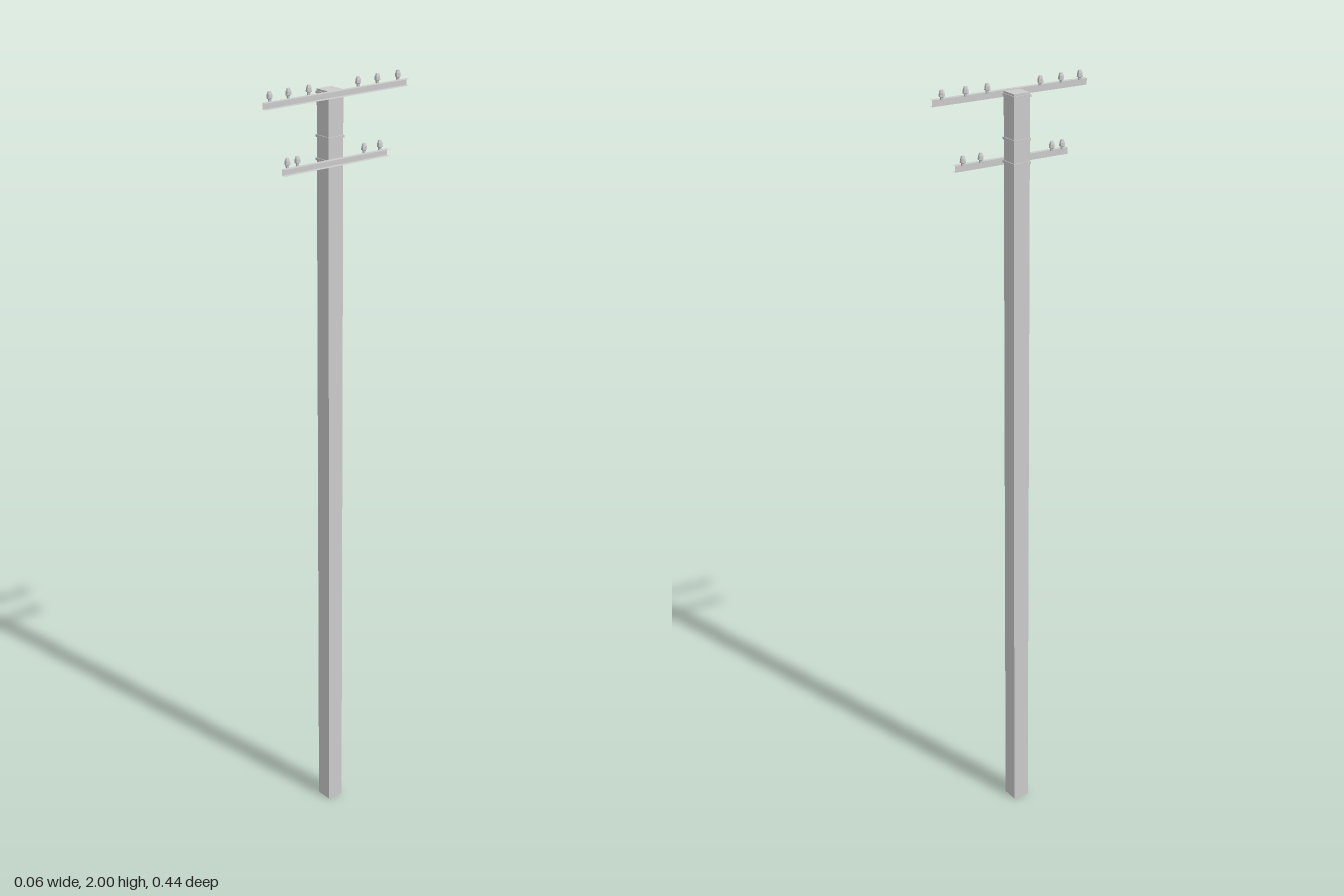
import * as THREE from 'three';

const grey = new THREE.MeshStandardMaterial({ color: 0xcccccc, flatShading: true, side: THREE.DoubleSide });

function add(parent, name, geometry, x, y, z) {
  const mesh = new THREE.Mesh(geometry, grey);
  mesh.name = name;
  mesh.position.set(x, y, z);
  parent.add(mesh);
  return mesh;
}

const POLE_X = -0.007, POLE_Z = -0.0015, POLE_W = 0.045, POLE_H = 1.976;
const ARM_X = 0.018, ARM_DEPTH = 0.012, ARM_H = 0.016;

// Six-sided pin insulator, standing on y = 0
const insulatorGeometry = new THREE.LatheGeometry(
  [[0, 0], [0.004, 0], [0.004, 0.006], [0.0075, 0.008], [0.0065, 0.017], [0.004, 0.024], [0, 0.024]]
    .map(([r, y]) => new THREE.Vector2(r, y)), 6);
insulatorGeometry.rotateY(Math.PI / 6);

// Open sheet channel with its web against the pole, carrying a row of insulators
function crossarm(name, topY, zMin, zMax, pins) {
  const arm = new THREE.Group();
  arm.name = name;
  const length = zMax - zMin, z = (zMin + zMax) / 2;
  const flange = new THREE.PlaneGeometry(ARM_DEPTH, length).rotateX(-Math.PI / 2);
  const web = new THREE.PlaneGeometry(length, ARM_H).rotateY(Math.PI / 2);
  add(arm, 'armWeb', web, ARM_X, topY - ARM_H / 2, z);
  add(arm, 'armTopFlange', flange, ARM_X + ARM_DEPTH / 2, topY, z);
  add(arm, 'armBottomFlange', flange, ARM_X + ARM_DEPTH / 2, topY - ARM_H, z);
  for (const pz of pins) add(arm, 'insulator', insulatorGeometry, 0.015, topY - 0.001, pz);
  return arm;
}

export function createModel() {
  const model = new THREE.Group();
  model.name = 'utilityPole';

  // Square post
  add(model, 'pole', new THREE.BoxGeometry(POLE_W, POLE_H, POLE_W), POLE_X, POLE_H / 2, POLE_Z);

  // Clamping bands around the post
  const band = new THREE.BoxGeometry(0.05, 0.006, 0.049);
  for (const y of [1.968, 1.863, 1.806]) add(model, 'band', band, POLE_X, y, POLE_Z);

  // Long upper arm and short lower arm
  model.add(crossarm('upperCrossarm', 1.977, -0.22, 0.218, [-0.195, -0.13, -0.07, 0.08, 0.14, 0.195]));
  model.add(crossarm('lowerCrossarm', 1.813, -0.16, 0.164, [-0.14, -0.09, 0.115, 0.145]));
  return model;
}
